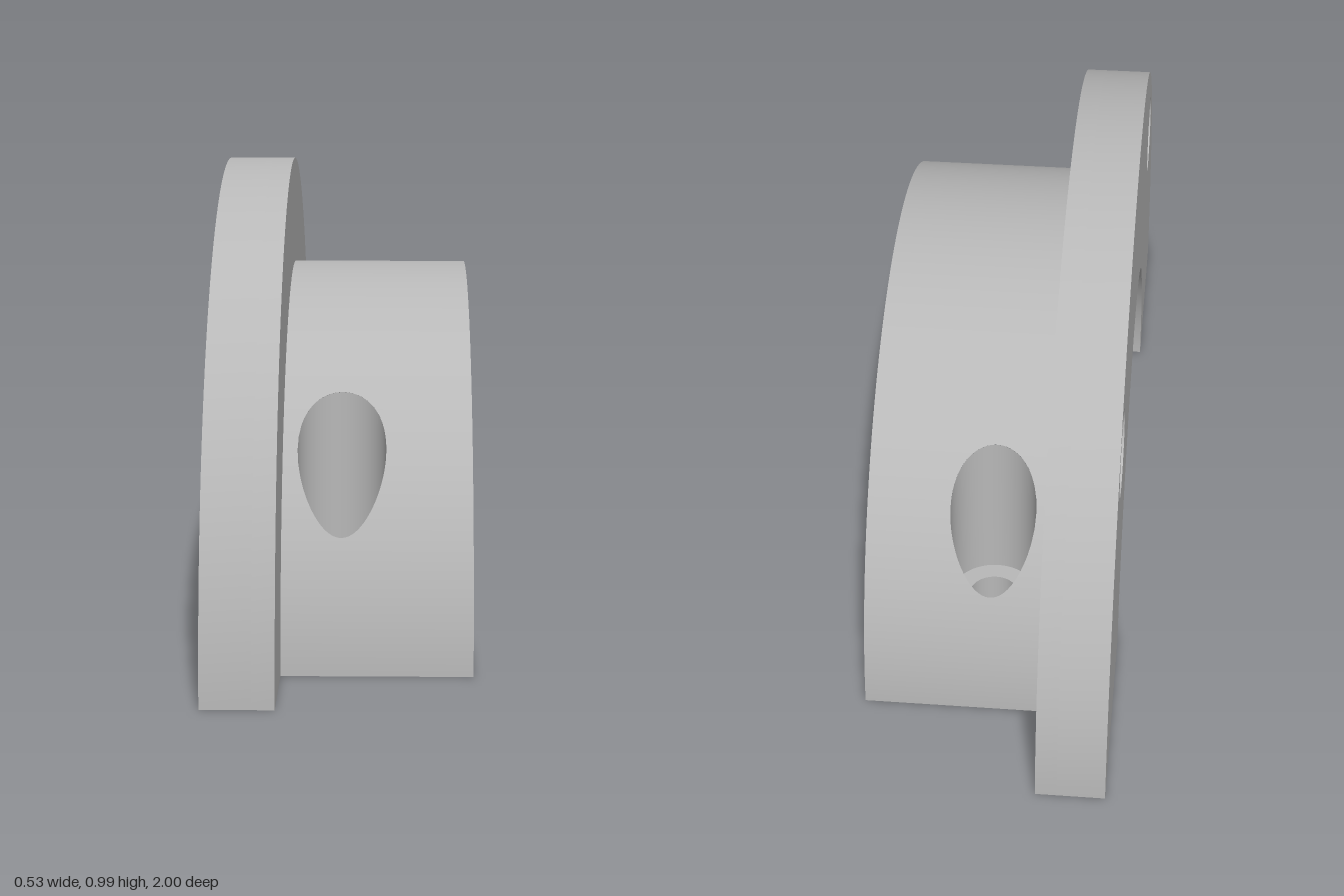
import * as THREE from 'three';
import { toCreasedNormals } from 'three/addons/utils/BufferGeometryUtils.js';
import { ParametricGeometry } from 'three/addons/geometries/ParametricGeometry.js';

const CY = -0.015;                               // ring axis lies just below the split face
const R_BORE = 0.535, R_BODY = 0.765, R_FLANGE = 1;
const X0 = -0.265, X1 = -0.12, X2 = 0.265;       // flange back, flange front, body end
const BOLT_Z = 0.62, BOLT_R = 0.052, SINK_R = 0.09, SINK_Y = 0.2;
const PIN_R = 0.092, PIN_DEPTH = 0.1;
const { lerp } = THREE.MathUtils;

// half ring cut off flat at y = 0
function halfRing(rOut, rIn) {
  const a = Math.asin(-CY / rOut), b = Math.asin(-CY / rIn);
  const s = new THREE.Shape();
  s.absarc(0, CY, rOut, a, Math.PI - a, false);
  s.absarc(0, CY, rIn, Math.PI - b, b, true);
  s.closePath();
  return s;
}

const circle = (x, y, r) => new THREE.Path().absarc(x, y, r, 0, Math.PI * 2, true);

// part of a cylinder about the x axis, angle measured from +z towards +y
function arcSurface(r, xa, xb, p0, p1, n) {
  return new ParametricGeometry((u, v, t) => {
    const p = lerp(p0, p1, v);
    t.set(lerp(xa, xb, u), r * Math.sin(p) + CY, r * Math.cos(p));
  }, 1, n);
}

// patch of the outer cylinder around a vertical round hole
function holedPatch(zc, pa, pb) {
  const pc = Math.acos(zc / R_BODY);
  const corners = [[X1, pa], [X1, pb], [X2, pb], [X2, pa], [X1, pa]];
  return new ParametricGeometry((u, v, t) => {
    const k = Math.min(3, Math.floor(u * 4)), f = u * 4 - k;
    const x = lerp(corners[k][0], corners[k + 1][0], f);
    const p = lerp(corners[k][1], corners[k + 1][1], f);
    const a = Math.atan2(p - pc, x);
    const hp = Math.acos((zc - SINK_R * Math.sin(a)) / R_BODY);
    const q = lerp(hp, p, v);
    t.set(lerp(SINK_R * Math.cos(a), x, v), R_BODY * Math.sin(q) + CY, R_BODY * Math.cos(q));
  }, 96, 12);
}

// inward facing wall of a vertical hole, with its top height given by a rule
function holeWall(zc, r, yBottom, yTop) {
  return new ParametricGeometry((u, v, t) => {
    const a = u * Math.PI * 2, z = zc + r * Math.sin(a);
    t.set(r * Math.cos(a), lerp(yBottom, yTop(z), v), z);
  }, 48, 4);
}

export function createModel() {
  const model = new THREE.Group();
  model.name = 'splitFlangedBushing';
  const metal = new THREE.MeshStandardMaterial({ color: 0xb8b8b8 });
  metal.name = 'grey metal';
  const add = (name, geometry) => {
    const mesh = new THREE.Mesh(geometry, metal);
    mesh.name = name;
    model.add(mesh);
    return mesh;
  };

  // flange: a back layer with two blind holes and a solid front layer
  const slab = (shape, x, depth) => {
    const g = new THREE.ExtrudeGeometry(shape, { depth, bevelEnabled: false, curveSegments: 72 });
    g.rotateY(Math.PI / 2).translate(x, 0, 0);
    return toCreasedNormals(g, 0.5);
  };
  const drilled = halfRing(R_FLANGE, R_BORE);
  const d = 0.88 * Math.SQRT1_2;
  for (const s of [-1, 1]) drilled.holes.push(circle(s * d, d + CY, PIN_R));
  add('flangeBack', slab(drilled, X0, PIN_DEPTH));
  add('flangeFront', slab(halfRing(R_FLANGE, R_BORE), X0 + PIN_DEPTH, X1 - X0 - PIN_DEPTH));

  // body: outer skin between the bolt holes, bore and end face
  const a = Math.asin(-CY / R_BODY), b = Math.asin(-CY / R_BORE);
  const lo = 0.3, hi = 0.9, PI = Math.PI;
  add('bodyTop', arcSurface(R_BODY, X1, X2, hi, PI - hi, 48));
  add('bore', arcSurface(R_BORE, X2, X1, b, PI - b, 72));
  add('bodyEnd', new THREE.ShapeGeometry(halfRing(R_BODY, R_BORE), 72)
    .rotateY(PI / 2).translate(X2, 0, 0));

  // both feet of the body, each with a counterbored bolt hole
  for (const s of [1, -1]) {
    const zc = s * BOLT_Z, side = s > 0 ? 'Front' : 'Rear';
    const span = (p, q) => (s > 0 ? [p, q] : [PI - q, PI - p]);
    add('bodyFoot' + side, arcSurface(R_BODY, X1, X2, ...span(a, lo), 8));
    add('bodySide' + side, holedPatch(zc, ...span(lo, hi)));
    add('counterbore' + side, holeWall(zc, SINK_R, SINK_Y,
      z => Math.sqrt(R_BODY * R_BODY - z * z) + CY));
    add('boltSeat' + side, new THREE.RingGeometry(BOLT_R, SINK_R, 48)
      .rotateX(-PI / 2).translate(0, SINK_Y, zc));
    add('boltHole' + side, holeWall(zc, BOLT_R, 0, () => SINK_Y));

    // split face under the foot
    const z0 = Math.min(s * R_BORE, s * R_BODY), z1 = Math.max(s * R_BORE, s * R_BODY);
    const foot = new THREE.Shape([[X1, z0], [X2, z0], [X2, z1], [X1, z1]]
      .map(p => new THREE.Vector2(...p)));
    foot.holes.push(circle(0, zc, BOLT_R));
    add('splitFace' + side, new THREE.ShapeGeometry(foot, 48).rotateX(PI / 2));
  }
  return model;
}
